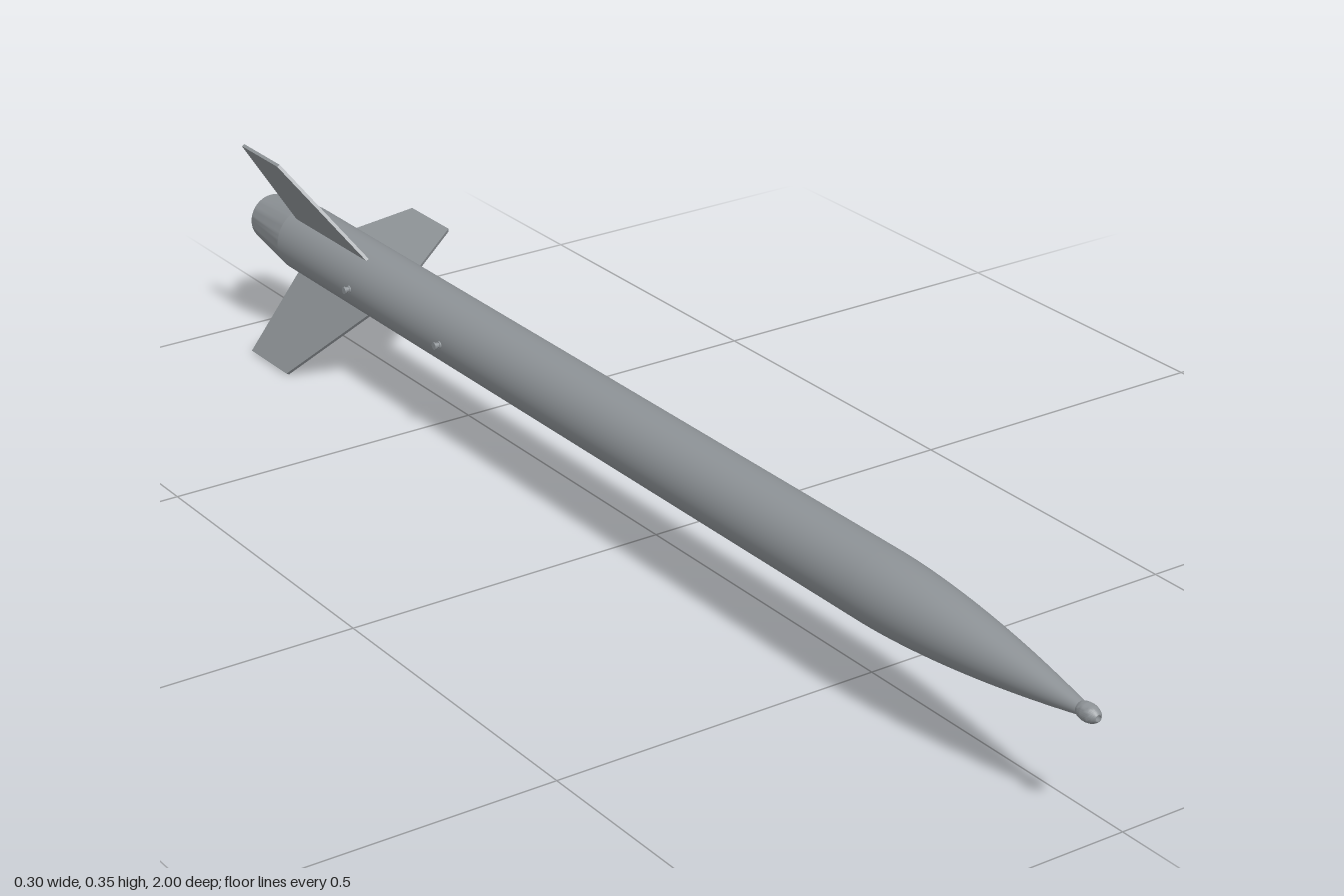
import * as THREE from 'three';
import { toCreasedNormals } from 'three/addons/utils/BufferGeometryUtils.js';

const R = 0.053; // body radius
const material = new THREE.MeshStandardMaterial({ color: 0x8d9296 });

function addMesh(parent, name, geometry) {
  const mesh = new THREE.Mesh(geometry, material);
  mesh.name = name;
  parent.add(mesh);
  return mesh;
}

// Smooth turned part along the z axis from [radius, z] pairs, listed from back to front
function turned(points, segments = 64) {
  const profile = points.map(([r, z]) => new THREE.Vector2(r, z));
  return new THREE.LatheGeometry(profile, segments).rotateX(Math.PI / 2);
}

// Turned part that keeps its sharp edges
function turnedSharp(points, segments) {
  return toCreasedNormals(turned(points, segments), 0.5);
}

export function createModel() {
  const model = new THREE.Group();
  const rocket = new THREE.Group();
  rocket.name = 'rocket';
  rocket.position.set(-0.05, 0.1755, 0);
  model.add(rocket);

  addMesh(rocket, 'bodyTube', turned([[R, -0.89], [R, 0.58]]));

  // Curved nose, narrowing to a small neck
  const nose = [];
  for (let i = 0; i <= 20; i++) {
    const t = i / 20;
    nose.push([R - 0.044 * t ** 1.7, 0.58 + 0.39 * t]);
  }
  addMesh(rocket, 'noseCone', turned(nose));

  // Rounded tip with a shallow hole in its end
  const tip = [];
  for (let i = 0; i <= 12; i++) {
    const a = -0.9 + (i / 12) * 2.05;
    tip.push([0.0125 * Math.cos(a), 0.981 + 0.019 * Math.sin(a) / Math.sin(1.15)]);
  }
  tip.push([0.004, 1], [0.004, 0.99], [0, 0.99]);
  addMesh(rocket, 'noseTip', turnedSharp(tip, 32));

  // Tapered tail, open at the back with a recessed bulkhead
  addMesh(rocket, 'boatTail', turnedSharp([
    [0, -0.95], [0.034, -0.95], [0.034, -1], [0.038, -1], [R, -0.89],
  ]));

  // Motor nozzle inside the tail
  addMesh(rocket, 'nozzle', turnedSharp([
    [0, -0.955], [0.006, -0.955], [0.011, -0.985], [0.016, -0.985], [0.016, -0.948],
  ], 32));

  // Three swept fins, drawn as radius against z
  const outline = new THREE.Shape([
    [0.048, -0.653], [0.2, -0.79], [0.2, -0.9], [0.048, -0.869],
  ].map(([r, z]) => new THREE.Vector2(r, z)));
  const thickness = 0.005;
  const finGeometry = new THREE.ExtrudeGeometry(outline, { depth: thickness, bevelEnabled: false });
  finGeometry.translate(0, 0, -thickness / 2).rotateX(Math.PI / 2);
  for (let i = 0; i < 3; i++) {
    addMesh(rocket, 'fin' + (i + 1), finGeometry).rotation.z = i * Math.PI * 2 / 3;
  }

  // Two flanged rail buttons on the right side
  const buttonGeometry = turnedSharp([
    [0.0055, 0], [0.0055, 0.003], [0.0042, 0.003], [0.0042, 0.008],
    [0.0055, 0.008], [0.0055, 0.011], [0, 0.011],
  ], 20).rotateY(-Math.PI / 2);
  for (const z of [-0.41, -0.67]) {
    addMesh(rocket, 'railButton', buttonGeometry).position.set(-R + 0.001, 0, z);
  }

  return model;
}
